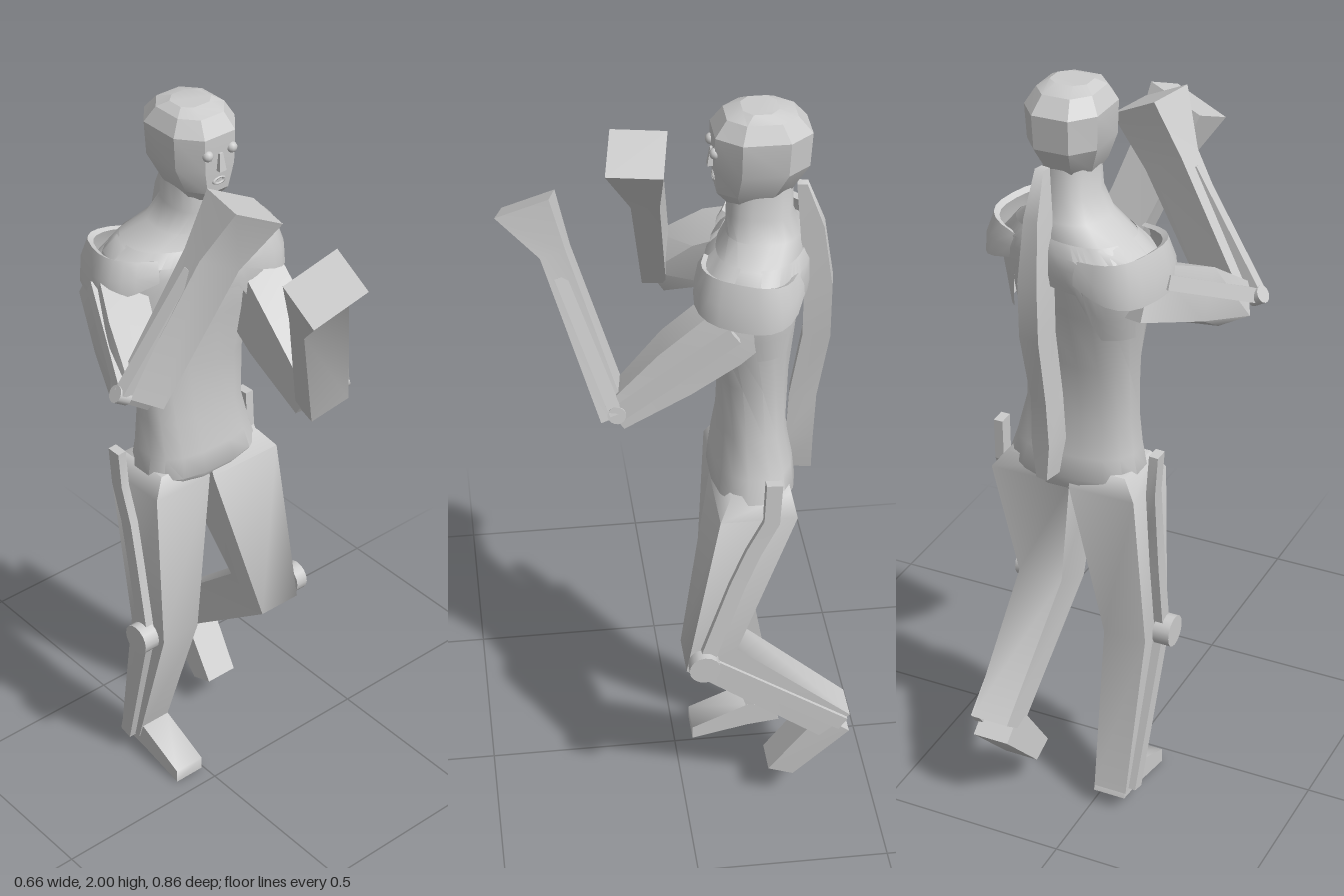
import * as THREE from 'three';
import { toCreasedNormals } from 'three/addons/utils/BufferGeometryUtils.js';
import { ParametricGeometry } from 'three/addons/geometries/ParametricGeometry.js';

const solid = new THREE.MeshStandardMaterial({ color: 0xcccccc });
const thin = new THREE.MeshStandardMaterial({ color: 0xcccccc, side: THREE.DoubleSide });
const V = (a) => new THREE.Vector3(...a);

// Closed skin over a list of rings, with end caps; faces always point outward
function loft(rings, crease) {
  const tris = [], n = rings[0].length;
  for (let i = 0; i < rings.length - 1; i++) {
    for (let j = 0; j < n; j++) {
      const k = (j + 1) % n, a = rings[i], b = rings[i + 1];
      tris.push([a[j], a[k], b[k]], [a[j], b[k], b[j]]);
    }
  }
  const last = rings[rings.length - 1];
  for (let j = 1; j < n - 1; j++) {
    tris.push([rings[0][0], rings[0][j + 1], rings[0][j]], [last[0], last[j], last[j + 1]]);
  }
  const mid = rings[0][0];
  let volume = 0;
  for (const [a, b, c] of tris) {
    volume += a.clone().sub(mid).dot(b.clone().sub(mid).cross(c.clone().sub(mid)));
  }
  if (volume < 0) tris.forEach((t) => t.reverse());
  const g = new THREE.BufferGeometry().setFromPoints(tris.flat());
  return toCreasedNormals(g, crease);
}

// Four-cornered ring from a centre and two half-extent vectors
function quad(c, u, v) {
  return [[1, 1], [-1, 1], [-1, -1], [1, -1]].map(([p, q]) =>
    V(c).addScaledVector(V(u), p).addScaledVector(V(v), q));
}
const limb = (stations) => loft(stations.map((s) => quad(...s)), 1.25);

// Flat bar that follows a few points in the side plane
function bar(points, width, thick) {
  const p = points.map(V);
  return loft(p.map((c, i) => {
    const d = p[Math.min(i + 1, p.length - 1)].clone().sub(p[Math.max(i - 1, 0)]).normalize();
    const x = new THREE.Vector3(1, 0, 0);
    x.addScaledVector(d, -x.dot(d)).normalize();
    const w = d.clone().cross(x);
    return quad(c.toArray(), x.multiplyScalar(thick).toArray(), w.multiplyScalar(width).toArray());
  }), 0.4);
}

// Torso sections: y, centre x, centre z, half width, half depth, yaw
const torsoRows = [
  [0.95, 0.08, -0.185, 0.15, 0.085, 0], [0.99, 0.08, -0.18, 0.178, 0.107, 0],
  [1.05, 0.075, -0.18, 0.162, 0.1, 0], [1.15, 0.065, -0.18, 0.147, 0.085, 0.05],
  [1.3, 0.06, -0.185, 0.152, 0.088, 0.15], [1.45, 0.06, -0.19, 0.185, 0.105, 0.3],
  [1.56, 0.06, -0.195, 0.21, 0.115, 0.35], [1.61, 0.06, -0.195, 0.2, 0.112, 0.34],
  [1.64, 0.065, -0.2, 0.165, 0.105, 0.33], [1.68, 0.075, -0.2, 0.095, 0.09, 0.2],
  [1.73, 0.08, -0.19, 0.064, 0.08, 0.1], [1.83, 0.08, -0.19, 0.06, 0.075, 0],
];
const pow = (v, e) => Math.sign(v) * Math.abs(v) ** e;
function oval([y, cx, cz, rx, rz, yaw], a, off = 0) {
  const x = (rx + off) * pow(Math.cos(a), 0.8), z = (rz + off) * pow(Math.sin(a), 0.8);
  return new THREE.Vector3(cx + x * Math.cos(yaw) - z * Math.sin(yaw), y,
    cz + x * Math.sin(yaw) + z * Math.cos(yaw));
}
function torsoPoint(a, y, off) {
  let i = 0;
  while (i < torsoRows.length - 2 && torsoRows[i + 1][0] < y) i++;
  const p = torsoRows[i], q = torsoRows[i + 1], t = (y - p[0]) / (q[0] - p[0]);
  return oval(p.map((v, k) => v + (q[k] - v) * t), a, off);
}
const ovalLoft = (rows, n, crease) => loft(rows.map((r) =>
  Array.from({ length: n }, (_, j) => oval(r, ((j + 0.5) / n) * Math.PI * 2))), crease);

export function createModel() {
  const model = new THREE.Group();
  const add = (name, geometry, material = solid) => {
    const m = new THREE.Mesh(geometry, material);
    m.name = name;
    model.add(m);
    return m;
  };
  const pin = (name, at, axis, radius, length) => {
    const m = add(name, new THREE.CylinderGeometry(radius, radius, length, 16));
    m.position.set(...at);
    m.quaternion.setFromUnitVectors(new THREE.Vector3(0, 1, 0), V(axis).normalize());
  };

  // Torso, neck and head
  add('torso', ovalLoft(torsoRows, 16, 0.8));
  add('head', ovalLoft([
    [1.765, 0.08, -0.165, 0.048, 0.06, 0], [1.795, 0.08, -0.172, 0.068, 0.094, 0],
    [1.86, 0.08, -0.188, 0.096, 0.118, 0], [1.945, 0.08, -0.19, 0.1, 0.121, 0],
    [1.985, 0.08, -0.187, 0.076, 0.088, 0], [2.0, 0.08, -0.185, 0.05, 0.045, 0],
  ], 8, 0.35));
  for (const x of [0.043, 0.117]) {
    const eye = add('eye', new THREE.SphereGeometry(0.014, 10, 8));
    eye.position.set(x, 1.902, -0.078);
  }
  add('nose', limb([
    [[0.08, 1.9, -0.076], [0.005, 0, 0], [0, 0, 0.005]],
    [[0.08, 1.855, -0.074], [0.01, 0, 0], [0, 0, 0.01]],
  ]));
  const mouth = add('mouth', new THREE.TorusGeometry(0.016, 0.005, 6, 12));
  mouth.scale.y = 0.5;
  mouth.position.set(0.08, 1.825, -0.081);

  // Spine plate
  add('spinePlate', limb([
    [1.81, 0.11, -0.285, 0.012, 0.012], [1.7, 0.11, -0.312, 0.02, 0.028],
    [1.54, 0.109, -0.332, 0.028, 0.033], [1.4, 0.108, -0.332, 0.028, 0.033],
    [1.22, 0.1, -0.305, 0.022, 0.033], [1.1, 0.1, -0.3, 0.026, 0.033],
    [1.0, 0.1, -0.298, 0.016, 0.033],
  ].map(([y, x, z, w, d]) => [[x, y, z], [w, 0, 0.2 * w], [-0.2 * d, 0, d]])));

  // Chest and back plates with stepped lower edges, and the open shoulder collars
  const chestYaw = 0.34;
  for (const s of [1, -1]) {
    for (const [name, f, drop] of [['chestPlate', 1, 0.08], ['backPlate', -1, 0.12]]) {
      add(name, toCreasedNormals(new ParametricGeometry((u, v, out) => {
        const a = f * (Math.PI / 2 - s * (0.06 + u * 1.35));
        const low = 1.53 - drop * Math.min(1, Math.max(0, (u - 0.25) * 4));
        out.copy(torsoPoint(a, low + (1.645 - low) * v, v > 0.99 ? 0.002 : 0.014));
      }, 12, 4).toNonIndexed(), 0.6), thin);
    }
    add('shoulderPad', toCreasedNormals(new ParametricGeometry((u, v, out) => {
      const t = (u - 0.5) * Math.PI * 0.98;
      const [k, top] = [[1, 0], [0.98, 0.5], [0.87, 1], [0.79, 0.92]][Math.round(v * 3)];
      const c = Math.cos(t), low = 1.585 - 0.055 * Math.sqrt(c), high = 1.625 + 0.02 * Math.sqrt(c);
      const x = s * (0.085 + 0.17 * k * c ** 0.6);
      const z = 0.13 * k * pow(Math.sin(t), 0.75);
      out.set(0.06 + x * Math.cos(chestYaw) - z * Math.sin(chestYaw),
        low + (high - low) * top + 0.1 * z,
        -0.195 + x * Math.sin(chestYaw) + z * Math.cos(chestYaw));
    }, 12, 3).toNonIndexed(), 0.6), thin);
  }

  // Left arm
  add('leftUpperArm', limb([
    [[0.2, 1.535, -0.18], [0.05, 0, 0.015], [0, 0.055, 0.045]],
    [[0.2, 1.475, -0.09], [0.055, 0, 0.01], [0, 0.065, 0.045]],
    [[0.195, 1.39, 0.02], [0.055, 0, 0.01], [0, 0.058, 0.04]],
    [[0.202, 1.275, 0.165], [0.052, 0.008, 0.01], [0, 0.035, 0.022]],
  ]));
  add('leftForearm', limb([
    [[0.205, 1.265, 0.168], [0.052, 0.018, 0.01], [0, -0.012, 0.03]],
    [[0.07, 1.64, 0.292], [0.06, 0.028, 0.01], [-0.003, -0.01, 0.03]],
    [[0.028, 1.75, 0.357], [0.072, 0.028, 0.012], [-0.008, -0.025, 0.063]],
  ]));
  add('leftUpperArmRod', bar([[0.26, 1.3, 0.165], [0.268, 1.5, -0.11]], 0.018, 0.011));
  add('leftForearmRod', bar([[0.262, 1.3, 0.172], [0.132, 1.61, 0.285]], 0.015, 0.016));
  pin('leftElbowPin', [0.26, 1.3, 0.17], [1, 0.2, 0.15], 0.022, 0.035);

  // Right arm
  add('rightUpperArm', limb([
    [[-0.11, 1.54, -0.27], [0.05, -0.01, 0.025], [0, 0.06, 0.035]],
    [[-0.19, 1.47, -0.11], [0.055, -0.02, 0.02], [0, 0.058, 0.03]],
    [[-0.25, 1.4, 0.01], [0.046, -0.03, 0.012], [0.01, 0.035, 0.02]],
  ]));
  add('rightForearm', limb([
    [[-0.25, 1.395, 0.018], [0.046, -0.03, 0.01], [-0.005, 0, 0.03]],
    [[-0.06, 1.725, 0.06], [0.052, -0.028, 0.01], [-0.006, 0, 0.034]],
    [[0.013, 1.855, 0.092], [0.061, -0.03, 0.012], [-0.013, 0, 0.067]],
  ]));
  add('rightUpperArmRod', bar([[-0.305, 1.43, 0.02], [-0.185, 1.56, -0.24]], 0.018, 0.01));
  add('rightForearmRod', bar([[-0.305, 1.435, 0.025], [-0.118, 1.715, 0.06]], 0.016, 0.016));
  pin('rightElbowPin', [-0.308, 1.43, 0.02], [-1, 0.6, -0.15], 0.022, 0.035);

  // Left leg, raised behind
  add('leftLeg', limb([
    [[0.155, 1.01, -0.185], [0.085, 0, 0], [0, 0, 0.075]],
    [[0.17, 0.96, -0.175], [0.108, 0, 0], [0, 0, 0.096]],
    [[0.225, 0.53, -0.06], [0.062, 0, 0], [0, -0.03, 0.065]],
    [[0.222, 0.26, -0.39], [0.05, 0, 0], [0, -0.032, 0.04]],
  ]));
  add('leftFoot', limb([
    [[0.222, 0.265, -0.39], [0.049, 0, 0], [0, 0.03, 0.04]],
    [[0.21, 0.097, -0.253], [0.046, 0, 0], [0, 0.012, 0.033]],
  ]));
  add('leftThighBar', bar([[0.278, 1.07, -0.21], [0.28, 0.96, -0.205], [0.282, 0.87, -0.16],
    [0.286, 0.77, -0.12], [0.295, 0.53, -0.04]], 0.02, 0.012));
  add('leftShinBar', bar([[0.285, 0.53, -0.04], [0.27, 0.27, -0.41]], 0.02, 0.012));
  pin('leftKneePin', [0.308, 0.53, -0.038], [1, 0, 0], 0.04, 0.034);

  // Right leg, standing
  add('rightLeg', limb([
    [[-0.01, 1.01, -0.185], [0.075, 0, 0], [0, 0, 0.075]],
    [[-0.03, 0.96, -0.185], [0.088, 0, 0], [0, 0, 0.096]],
    [[-0.058, 0.5, -0.14], [0.058, 0, 0], [0, 0, 0.068]],
    [[-0.052, 0.06, -0.25], [0.045, 0, 0], [0, 0, 0.038]],
  ]));
  add('rightFoot', limb([
    [[-0.05, 0.075, -0.28], [0.044, 0, 0], [0, 0.03, 0.01]],
    [[-0.05, 0.07, -0.2], [0.044, 0, 0], [0, 0.036, 0]],
    [[-0.05, 0.02, -0.05], [0.044, 0, 0], [0, 0.019, 0]],
  ]));
  add('rightThighBar', bar([[-0.148, 1.07, -0.21], [-0.14, 0.96, -0.21], [-0.133, 0.85, -0.185],
    [-0.13, 0.72, -0.165], [-0.128, 0.5, -0.13]], 0.02, 0.012));
  add('rightShinBar', bar([[-0.128, 0.5, -0.13], [-0.104, 0.06, -0.25]], 0.02, 0.012));
  pin('rightKneePin', [-0.142, 0.5, -0.13], [1, 0, 0], 0.042, 0.045);
  return model;
}
